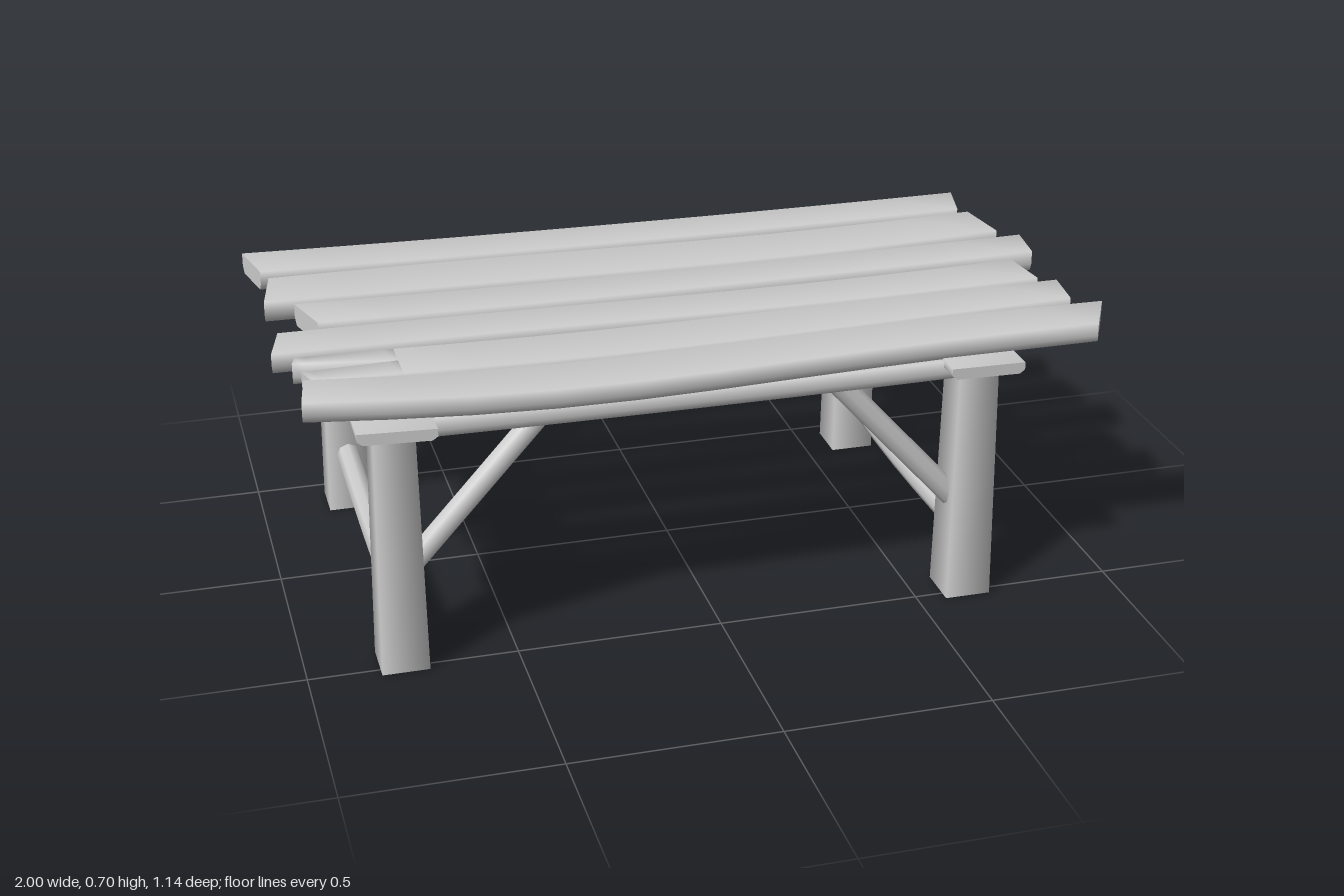
import * as THREE from 'three';

const mat = new THREE.MeshStandardMaterial({ color: 0xcccccc });
const { lerp } = THREE.MathUtils;

// Board cross-section: [across 0..1, height 0..1], chamfered underneath
const PROFILE = [[0.07, 0], [0, 0.35], [0, 1], [1, 1], [1, 0.35], [0.93, 0]];

// Hewn board along x. Ends are [xBack, zBack, xFront, zFront]; wave snakes both
// edges, bow swells the front edge, lift raises the -x end.
function board(name, left, right, { y = 0.631, thick = 0.051, wave = 0, bow = 0, lift = 0 } = {}) {
  const n = PROFILE.length, steps = 10, pos = [], idx = [];
  const ring = (t) => {
    const [xb, zb, xf, zf] = left.map((v, k) => lerp(v, right[k], t));
    const shift = wave * Math.sin(2 * Math.PI * t);
    const swell = bow * Math.sin(Math.PI * t);
    for (const [u, h] of PROFILE) {
      const x = lerp(xb, xf, u);
      const base = y + 0.008 * x * x + lift * Math.min(x, 0) ** 2;
      pos.push(x, base + thick * h, lerp(zb, zf + swell, u) + shift);
    }
  };
  for (let i = 0; i <= steps; i++) ring(i / steps);
  for (let i = 0; i < steps; i++) {
    for (let j = 0; j < n; j++) {
      const a = i * n + j, b = i * n + (j + 1) % n;
      idx.push(a, b, b + n, a, b + n, a + n);
    }
  }
  // End caps with their own vertices, so the sawn edges stay sharp
  const start = (steps + 1) * n, end = start + n;
  ring(0);
  ring(1);
  for (let j = 1; j < n - 1; j++) {
    idx.push(start, start + j + 1, start + j, end, end + j, end + j + 1);
  }
  const geo = new THREE.BufferGeometry();
  geo.setAttribute('position', new THREE.Float32BufferAttribute(pos, 3));
  geo.setIndex(idx);
  geo.computeVertexNormals();
  const mesh = new THREE.Mesh(geo, mat);
  mesh.name = name;
  return mesh;
}

// Round pole through a list of points
function pole(name, points, radius) {
  const path = new THREE.CatmullRomCurve3(points.map((p) => new THREE.Vector3(...p)));
  const mesh = new THREE.Mesh(new THREE.TubeGeometry(path, 6, radius, 8), mat);
  mesh.name = name;
  return mesh;
}

// Cross beam, modelled along x and turned to run along z
function crossBeam(name, x, parts) {
  const group = new THREE.Group();
  group.name = name;
  group.add(...parts);
  group.rotation.y = -Math.PI / 2;
  group.position.x = x;
  return group;
}

export function createModel() {
  const model = new THREE.Group();

  // Six uneven planks, back to front; the fifth is split at its -x end
  const top = new THREE.Group();
  top.name = 'tableTop';
  top.add(
    board('plank', [-0.995, -0.485, -0.965, -0.345], [0.925, -0.445, 0.895, -0.32]),
    board('plank', [-0.95, -0.29, -0.98, -0.13], [0.91, -0.285, 0.93, -0.13], { wave: -0.01, bow: 0.01, thick: 0.054 }),
    board('plank', [-0.91, -0.105, -0.87, 0.025], [0.975, -0.085, 0.96, 0.035], { thick: 0.054 }),
    board('plank', [-0.97, 0.06, -1, 0.185], [0.89, 0.065, 0.905, 0.2], { wave: -0.007, bow: -0.005 }),
    board('plank', [-0.72, 0.215, -0.72, 0.36], [0.945, 0.225, 0.93, 0.345], { wave: 0.006, bow: 0.013 }),
    board('plankSplitBack', [-0.95, 0.215, -0.96, 0.25], [-0.72, 0.215, -0.72, 0.285]),
    board('plankSplitFront', [-0.945, 0.3, -0.93, 0.352], [-0.72, 0.285, -0.72, 0.36]),
    board('plank', [-0.95, 0.38, -0.97, 0.505], [0.995, 0.385, 0.93, 0.51], { wave: 0.018, bow: 0.022, lift: 0.016 }));
  model.add(top);

  // Cross beams under the planks, one split at the back
  const thin = { y: 0.606, thick: 0.028, lift: 0.03 };
  model.add(
    crossBeam('rightCrossBeam', -0.77, [
      board('beam', [-0.48, -0.08, -0.48, 0.085], [0.57, -0.09, 0.555, 0.09], thin),
      board('beamSplitInner', [-0.575, -0.08, -0.575, -0.035], [-0.48, -0.08, -0.48, -0.005], thin),
      board('beamSplitOuter', [-0.57, 0.015, -0.555, 0.075], [-0.48, -0.005, -0.48, 0.085], thin)]),
    crossBeam('leftCrossBeam', 0.63, [
      board('beam', [-0.48, -0.095, -0.495, 0.08], [0.57, -0.09, 0.565, 0.09], { y: 0.606, thick: 0.028 })]));

  // Square, softly shaded legs with a rail and two braces on each long side
  const legX = [-0.772, 0.627], legZ = [0.47, -0.398];
  for (const z of legZ) {
    for (const x of legX) {
      const geo = new THREE.CylinderGeometry(0.069, 0.08, 0.615, 4, 2);
      geo.rotateY(Math.PI / 4);
      const leg = new THREE.Mesh(geo, mat);
      leg.position.set(x, 0.3075, z);
      leg.name = 'leg';
      const s = -Math.sign(x);
      model.add(leg, pole('brace', [[x + s * 0.025, 0.245, z], [x + s * 0.35, 0.605, z]], 0.028));
    }
    model.add(board('rail', [legX[0], z - 0.038, legX[0], z + 0.038],
      [legX[1], z - 0.038, legX[1], z + 0.038], { y: 0.582, thick: 0.047 }));
  }

  // Low, slightly sagging stretchers between front and back legs
  for (const x of legX) {
    model.add(pole('stretcher', [[x, 0.16, legZ[0]], [x, 0.148, 0.036], [x, 0.16, legZ[1]]], 0.029));
  }
  return model;
}
